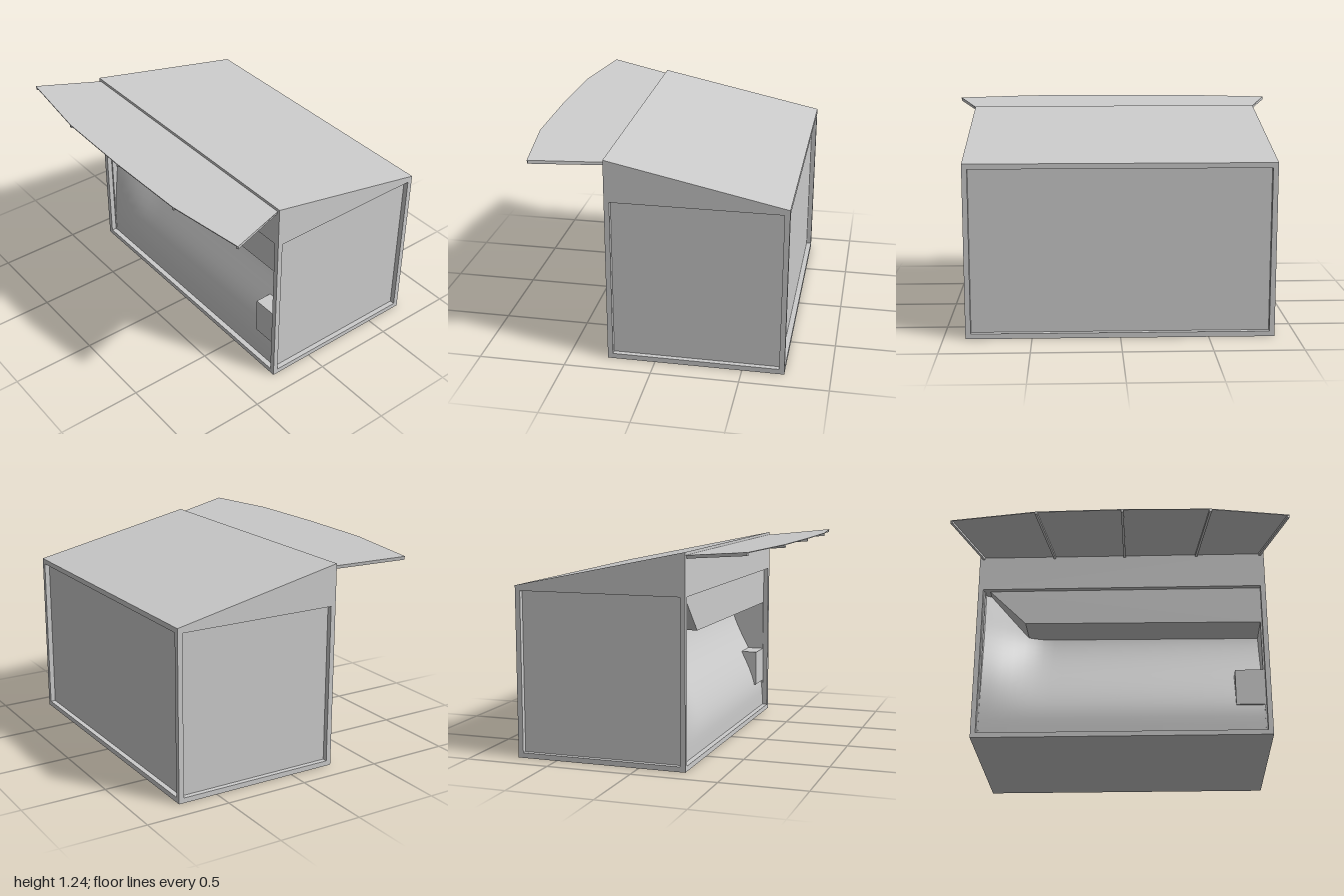
import * as THREE from 'three';

const mat = new THREE.MeshStandardMaterial({ color: 0xcccccc });
const thin = new THREE.MeshStandardMaterial({ color: 0xcccccc, side: THREE.DoubleSide });

// Overall body extents
const W = 0.875, FRONT = 0.275, BACK = -0.74, T = 0.03, TOP = 0.967;

const shapeOf = (pts) => new THREE.Shape(pts.map(([x, y]) => new THREE.Vector2(x, y)));

function add(parent, name, geometry, material = mat) {
  const mesh = new THREE.Mesh(geometry, material);
  mesh.name = name;
  parent.add(mesh);
  return mesh;
}

// Box given by its minimum and maximum corners
function span(parent, name, [x0, y0, z0], [x1, y1, z1]) {
  const mesh = add(parent, name, new THREE.BoxGeometry(x1 - x0, y1 - y0, z1 - z0));
  mesh.position.set((x0 + x1) / 2, (y0 + y1) / 2, (z0 + z1) / 2);
  return mesh;
}

const smooth = (v, a, b) => THREE.MathUtils.smoothstep(v, a, b);

export function createModel() {
  const model = new THREE.Group();
  model.name = 'kiosk';

  // Base slab and corner posts framing the recessed walls
  span(model, 'base', [-W, 0, BACK], [W, T, FRONT]);
  for (const x of [-W, W - T])
    for (const z of [BACK, FRONT - T])
      span(model, 'cornerPost', [x, T, z], [x + T, TOP, z + T]);

  // Recessed side and back walls
  for (const s of [-1, 1]) {
    const wall = span(model, 'sideWall', [-0.005, T, BACK + T], [0.005, TOP, FRONT - T]);
    wall.position.x = s * (W - T - 0.005);
  }
  span(model, 'backWall', [-W + T, T, BACK + T], [W - T, TOP, BACK + T + 0.01]);

  // Sloping roof block, profile drawn in (z, y) and extruded across the width
  const roof = new THREE.ExtrudeGeometry(
    shapeOf([[-FRONT, TOP], [-BACK, TOP], [-BACK, 0.997], [-FRONT, 1.21]]),
    { depth: 2 * W, bevelEnabled: false });
  roof.rotateY(Math.PI / 2).translate(-W, 0, 0);
  add(model, 'roof', roof);

  // Front wall: upper panel with a slanted left end
  const upper = new THREE.ExtrudeGeometry(
    shapeOf([[-0.805, TOP], [-0.58, 0.745], [W - T, 0.735], [W - T, TOP]]),
    { depth: 0.25, bevelEnabled: false });
  upper.translate(0, 0, FRONT - T - 0.25);
  add(model, 'upperFrontPanel', upper);

  // Hollowed front surface, sinking toward the top and away from the left edge
  const hollow = new THREE.PlaneGeometry(2 * (W - T), TOP - T, 28, 20);
  hollow.translate(0, (TOP + T) / 2, 0);
  const p = hollow.attributes.position;
  for (let i = 0; i < p.count; i++) {
    const x = p.getX(i), y = p.getY(i);
    const depth = 0.23 * smooth(y, 0.12, 0.78) * smooth(x, -1.0, -0.45);
    p.setZ(i, FRONT - T - 0.002 - depth);
  }
  hollow.computeVertexNormals();
  add(model, 'hollowFront', hollow, thin);

  // Small ledge in the right end of the hollow
  span(model, 'ledge', [0.67, 0.2, 0.04], [W - T, 0.42, FRONT - T]);

  // Canopy: thin flared sheet tilted up, with ribs beneath
  const canopy = new THREE.Group();
  canopy.name = 'canopy';
  canopy.position.set(0, 1.193, FRONT);
  canopy.rotation.x = -0.095;
  const tips = [[-1, 0.382], [-0.485, 0.452], [0.02, 0.462], [0.535, 0.452], [1, 0.382]];
  const sheet = new THREE.ExtrudeGeometry(
    shapeOf([[-0.86, 0], [0.86, 0], ...[...tips].reverse()]),
    { depth: 0.005, bevelEnabled: false });
  sheet.rotateX(Math.PI / 2);
  add(canopy, 'canopySheet', sheet);
  const roots = [-0.855, -0.41, 0.02, 0.46, 0.855];
  tips.forEach(([x, z], i) => {
    const dx = x - roots[i], inset = 0.007 * Math.sign(x) * (Math.abs(x) > 0.9 ? 1 : 0);
    const rib = add(canopy, 'canopyRib', new THREE.BoxGeometry(0.014, 0.019, Math.hypot(dx, z) - 0.004));
    rib.position.set((x + roots[i]) / 2 - inset, -0.0095, z / 2);
    rib.rotation.y = Math.atan2(dx, z);
  });
  model.add(canopy);

  return model;
}
